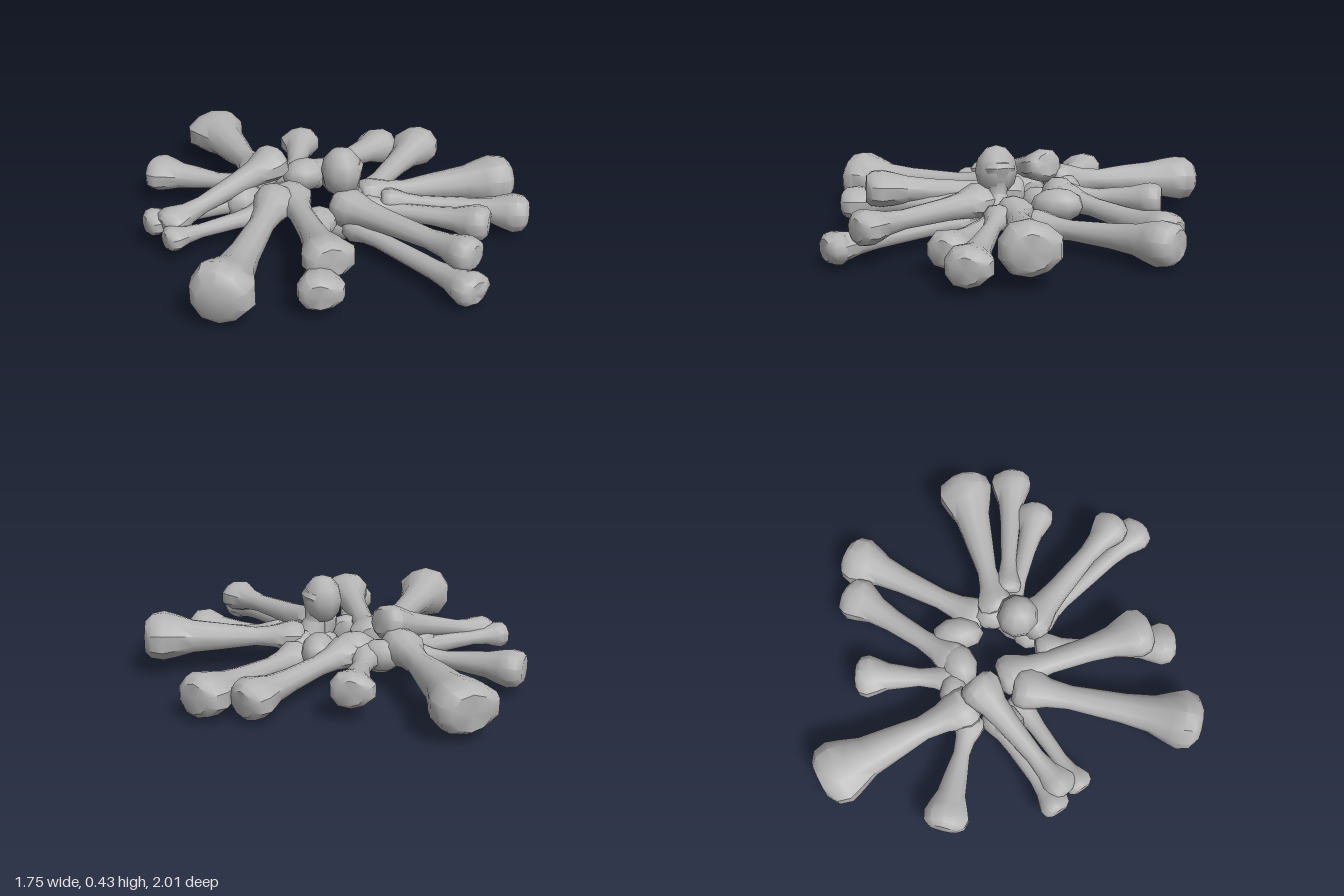
import * as THREE from 'three';
import { mergeVertices, toCreasedNormals } from 'three/addons/utils/BufferGeometryUtils.js';

const boneGrey = new THREE.MeshStandardMaterial({ color: 0xb4b4b4 });
boneGrey.name = 'boneGrey';

// Knobbed end: [distance from the tip in end radii, share of the flare]
const END = [[0, 0.2], [0.22, 0.8], [0.65, 1], [1.1, 0.72], [1.7, 0.26], [2.7, 0]];
const SIDES = 10;

// One long bone from tip a to tip b, with the half width of each end;
// tall is the height of the far end relative to its width
function bone(name, a, b, endA, endB, tall = 0.93) {
  const start = new THREE.Vector3(...a);
  const dir = new THREE.Vector3(...b).sub(start);
  const len = dir.length();
  dir.normalize();
  const up = new THREE.Vector3(0, 1, 0);
  if (dir.y > 0.8) up.set(0, 0, 1);
  const side = new THREE.Vector3().crossVectors(up, dir).normalize();
  const top = new THREE.Vector3().crossVectors(dir, side);

  // Stations along the bone, the far end mirrored
  const stationsFor = (end, shaft, height) => END.map(([d, flare]) => ({
    t: Math.min(d * end, len * 0.48 * d / 2.7),
    r: shaft + (end - shaft) * flare,
    height: 0.93 + (height - 0.93) * flare,
    flare,
  }));
  const near = stationsFor(endA, endA * 0.58, 0.93);
  const far = stationsFor(endB, endB * 0.53, tall).reverse();
  far.forEach((s) => { s.t = len - s.t; });
  const stations = [...near, ...far];

  // Wrap a cylinder around the stations, with two knuckles on each end
  const rows = stations.length - 1;
  const geo = new THREE.CylinderGeometry(1, 1, rows, SIDES, rows);
  const p = geo.attributes.position, v = new THREE.Vector3();
  for (let i = 0; i < p.count; i++) {
    const s = stations[Math.round(p.getY(i) + rows / 2)];
    const x = p.getX(i), z = p.getZ(i), angle = Math.atan2(z, x);
    const r = s.r * (1 + s.flare * (0.05 * Math.cos(2 * angle) + 0.05 * Math.cos(3 * angle)));
    v.copy(start).addScaledVector(dir, s.t)
      .addScaledVector(side, x * r)
      .addScaledVector(top, -z * r * s.height);
    p.setXYZ(i, v.x, v.y, v.z);
  }
  geo.deleteAttribute('uv');
  geo.deleteAttribute('normal');
  const mesh = new THREE.Mesh(toCreasedNormals(mergeVertices(geo, 1e-4), 0.75), boneGrey);
  mesh.name = name;
  return mesh;
}

// Rounded joint with given half sizes, turned to a flat heading
function joint(name, pos, size, heading) {
  const mesh = new THREE.Mesh(new THREE.SphereGeometry(1, 9, 6), boneGrey);
  mesh.position.set(...pos);
  mesh.scale.set(...size);
  mesh.rotation.y = heading;
  mesh.name = name;
  return mesh;
}

export function createModel() {
  const group = new THREE.Group();
  group.name = 'bonePile';

  // Bones pointing back
  group.add(
    bone('backLongBone', [-0.2, 0.2, -0.21], [-0.17, 0.16, -1], 0.1, 0.148, 0.78),
    bone('backLeftBone', [0, 0.18, -0.17], [0.62, 0.115, -0.47], 0.085, 0.105),
    bone('backShortBone', [-0.06, 0.16, -0.2], [0.2, 0.16, -0.63], 0.075, 0.1, 0.85),
    bone('backRightBone', [-0.24, 0.15, -0.25], [-0.64, 0.15, -0.62], 0.07, 0.105, 0.85),
  );

  // Bones on the right
  group.add(
    bone('rightUpperBone', [-0.13, 0.3, -0.18], [-0.77, 0.14, -0.05], 0.095, 0.08),
    bone('rightMiddleBone', [-0.26, 0.14, -0.15], [-0.83, 0.14, -0.12], 0.08, 0.07),
    bone('rightLowerBone', [-0.25, 0.12, -0.02], [-0.79, 0.12, 0.03], 0.07, 0.065),
    bone('frontRightLongBone', [-0.22, 0.19, -0.01], [-0.8, 0.165, 0.66], 0.1, 0.135, 1.06),
  );

  // Bones pointing forward
  group.add(
    bone('frontUpperBone', [-0.15, 0.17, -0.05], [-0.3, 0.22, 0.69], 0.095, 0.115, 0.82),
    bone('frontLowerBone', [-0.1, 0.15, 0.18], [-0.4, 0.135, 0.78], 0.075, 0.1, 0.85),
    bone('frontCentreBone', [0, 0.19, 0.17], [0.28, 0.19, 0.87], 0.1, 0.09),
    bone('frontCentreLowerBone', [0.02, 0.11, 0.25], [0.215, 0.1, 0.99], 0.07, 0.088, 0.82),
    joint('frontCentreLowerTip', [0.21, 0.1, 0.935], [0.095, 0.07, 0.062], 0),
  );

  // Bones on the left
  group.add(
    bone('leftFrontBone', [0.12, 0.14, 0.16], [0.56, 0.14, 0.58], 0.07, 0.092),
    bone('leftMiddleBone', [0.21, 0.17, 0.2], [0.79, 0.13, 0.56], 0.068, 0.1),
    bone('leftLongBone', [0.14, 0.17, 0.11], [0.86, 0.195, 0.31], 0.085, 0.132),
    bone('leftBackBone', [0.17, 0.1, 0.05], [0.8, 0.13, -0.38], 0.088, 0.118, 0.88),
  );

  // Bone standing up near the middle
  group.add(
    bone('uprightBone', [0.1, 0.07, 0.17], [0.035, 0.38, 0.15], 0.095, 0.09),
    joint('uprightHead', [0.028, 0.335, 0.15], [0.096, 0.118, 0.1], 0),
  );

  // Joints around the open middle
  group.add(
    joint('backJoint', [0, 0.185, -0.18], [0.11, 0.08, 0.085], -0.15),
    joint('backRightJoint', [-0.1, 0.17, -0.27], [0.1, 0.075, 0.065], -0.6),
    joint('leftJoint', [0.145, 0.17, -0.11], [0.125, 0.08, 0.082], 1.1),
    joint('frontLeftJoint', [0.16, 0.13, 0.09], [0.095, 0.075, 0.07], 1.1),
    joint('rightJoint', [-0.35, 0.15, -0.12], [0.1, 0.085, 0.08], 0),
    joint('lowerFrontJoint', [0.01, 0.09, 0.2], [0.085, 0.07, 0.075], 0),
    joint('lowerBackJoint', [-0.16, 0.11, -0.14], [0.1, 0.075, 0.08], 0.4),
  );
  return group;
}
